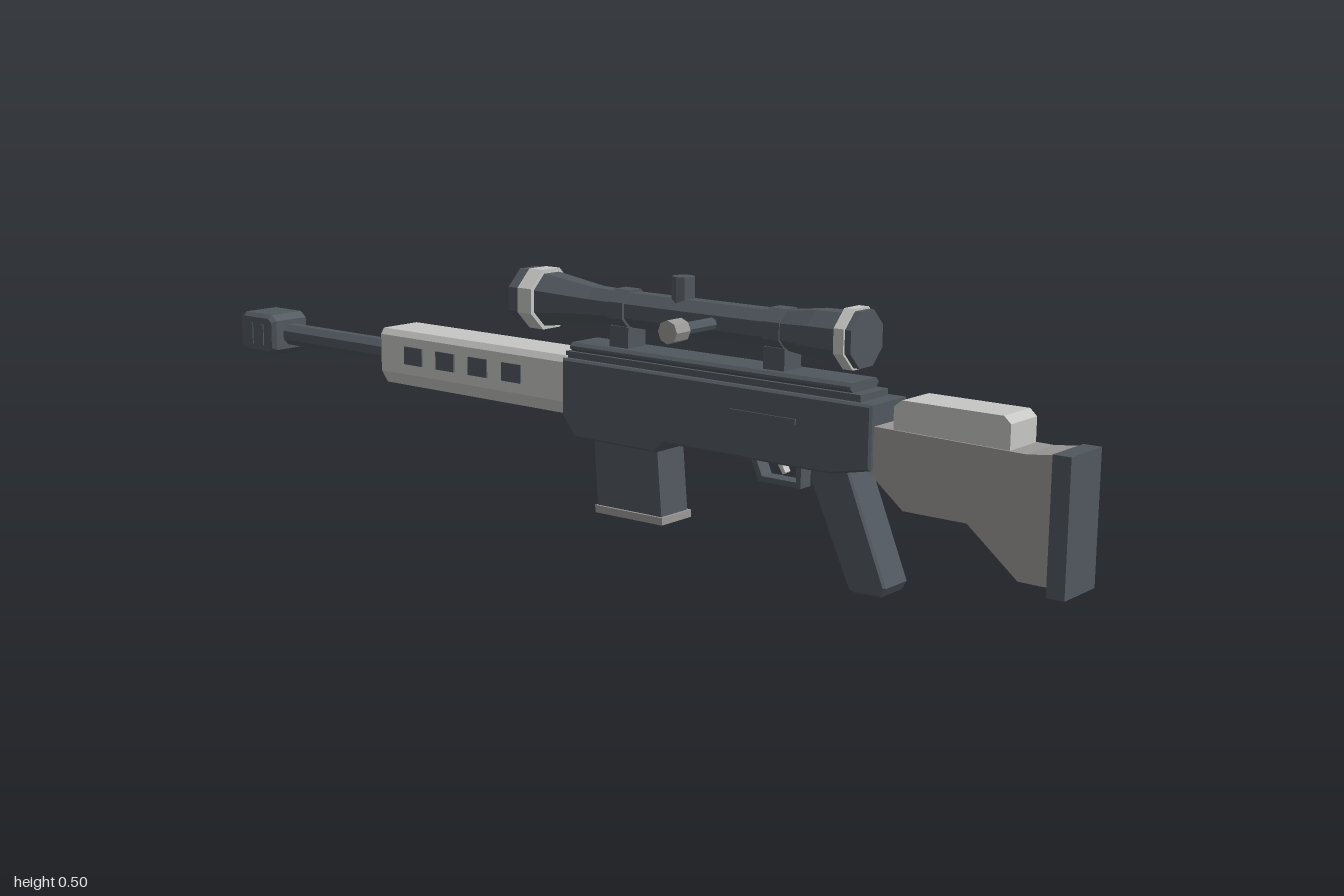
import * as THREE from 'three';

const dark = new THREE.MeshStandardMaterial({ color: 0x50575e });
dark.name = 'gunmetal';
const light = new THREE.MeshStandardMaterial({ color: 0xc6c6c4 });
light.name = 'light grey';
const mid = new THREE.MeshStandardMaterial({ color: 0x9a9896 });
mid.name = 'mid grey';
const gold = new THREE.MeshStandardMaterial({ color: 0xb8894a });
gold.name = 'amber lens';

const OCT = Math.cos(Math.PI / 8);

export function createModel() {
  const model = new THREE.Group();
  model.name = 'rifle';
  const body = new THREE.Group();
  body.name = 'rifleBody';
  body.position.x = 0.041;
  model.add(body);

  function add(name, geo, mat, x = 0, y = 0, z = 0) {
    const mesh = new THREE.Mesh(geo, mat);
    mesh.name = name;
    mesh.position.set(x, y, z);
    body.add(mesh);
    return mesh;
  }
  function flat(geo) {
    const g = geo.toNonIndexed();
    g.computeVertexNormals();
    return g;
  }
  const box = (name, mat, w, h, d, x, y, z) => add(name, new THREE.BoxGeometry(w, h, d), mat, x, y, z);
  const shapeOf = (pts) => new THREE.Shape(pts.map(([a, b]) => new THREE.Vector2(a, b)));

  // Side outline given as [z, y], extruded across x with a small bevel
  function sideSlab(name, mat, width, pts, bevel = 0) {
    const geo = new THREE.ExtrudeGeometry(shapeOf(pts), {
      depth: width - 2 * bevel, bevelEnabled: bevel > 0, bevelSize: bevel,
      bevelThickness: bevel, bevelOffset: -bevel, bevelSegments: 1,
    });
    geo.translate(0, 0, -(width / 2 - bevel));
    geo.rotateY(-Math.PI / 2);
    return add(name, geo, mat);
  }
  // Cross-section given as [x, y], extruded from z0 to z1
  function lengthwise(name, mat, pts, z0, z1) {
    const geo = new THREE.ExtrudeGeometry(shapeOf(pts), { depth: z1 - z0, bevelEnabled: false });
    return add(name, geo, mat, 0, 0, z0);
  }
  // Eight-sided turned part along z; profile is [half width, z] with z rising
  function turned(name, mat, y, profile) {
    const z0 = profile[0][1], z1 = profile[profile.length - 1][1];
    const pts = [[0, z0], ...profile, [0, z1]].map(([r, z]) => new THREE.Vector2(r / OCT, z));
    const geo = new THREE.LatheGeometry(pts, 8, Math.PI / 8);
    geo.rotateX(Math.PI / 2);
    return add(name, flat(geo), mat, 0, y, 0);
  }

  // Stock, cheek rest and butt plate
  sideSlab('stock', mid, 0.09, [[0.97, 0.085], [0.97, 0.298], [0.92, 0.292], [0.63, 0.297],
    [0.63, 0.22], [0.70, 0.163], [0.82, 0.163], [0.915, 0.085]]);
  sideSlab('cheekRest', light, 0.083, [[0.89, 0.285], [0.89, 0.335], [0.877, 0.347],
    [0.69, 0.347], [0.675, 0.335], [0.675, 0.285]]);
  box('buttPlate', dark, 0.1, 0.23, 0.032, 0, 0.185, 0.984);

  // Receiver and magazine well
  sideSlab('receiver', dark, 0.11, [[0.64, 0.222], [0.64, 0.333], [-0.045, 0.333], [-0.045, 0.225],
    [-0.015, 0.185], [0.18, 0.185], [0.2, 0.205], [0.56, 0.205]], 0.004);
  for (const s of [-1, 1]) {
    box('receiverGroove', dark, 0.006, 0.01, 0.14, s * 0.055, 0.285, 0.42);
  }

  // Stepped top rail
  lengthwise('railBase', dark, [[-0.042, 0.33], [0.042, 0.33], [0.042, 0.345], [-0.042, 0.345]], -0.045, 0.61);
  lengthwise('rail', dark, [[-0.03, 0.342], [0.03, 0.342], [0.042, 0.351], [0.042, 0.356],
    [0.036, 0.362], [-0.036, 0.362], [-0.042, 0.356], [-0.042, 0.351]], -0.035, 0.59);

  // Handguard with dark vents
  lengthwise('handguard', light, [[-0.038, 0.224], [0.038, 0.224], [0.054, 0.25], [0.054, 0.325],
    [0.046, 0.337], [-0.046, 0.337], [-0.054, 0.325], [-0.054, 0.25]], -0.54, -0.04);
  for (const s of [-1, 1]) {
    for (let i = 0; i < 4; i++) {
      box('vent', dark, 0.006, 0.036, 0.05, s * 0.0545, 0.289, -0.175 - i * 0.09);
    }
  }

  // Barrel and muzzle brake
  turned('barrel', dark, 0.281, [[0.022, -0.9], [0.022, -0.53]]);
  sideSlab('muzzleBrake', dark, 0.098, [[-0.885, 0.25], [-0.9, 0.238], [-0.985, 0.238], [-1, 0.25],
    [-1, 0.313], [-0.985, 0.325], [-0.9, 0.325], [-0.885, 0.313]].reverse(), 0.008);
  for (const s of [-1, 1]) {
    for (const z of [-0.925, -0.96]) box('brakeSlot', dark, 0.005, 0.045, 0.012, s * 0.049, 0.281, z);
  }

  // Magazine
  sideSlab('magazine', dark, 0.076, [[0.185, 0.055], [0.172, 0.2], [0.02, 0.2], [0.032, 0.055]]);
  sideSlab('magazineFloor', mid, 0.086, [[0.19, 0.048], [0.19, 0.062], [0.028, 0.06], [0.03, 0.046]]);

  // Grip, trigger and guard
  sideSlab('grip', dark, 0.072, [[0.585, 0.215], [0.505, 0.215], [0.51, 0.18], [0.592, 0.004],
    [0.605, 0], [0.655, 0.003], [0.665, 0.02]], 0.004);
  sideSlab('triggerGuard', dark, 0.03, [[0.475, 0.21], [0.475, 0.158], [0.385, 0.158], [0.362, 0.21],
    [0.373, 0.21], [0.392, 0.168], [0.465, 0.168], [0.465, 0.21]]);
  sideSlab('trigger', light, 0.016, [[0.435, 0.21], [0.42, 0.21], [0.422, 0.19], [0.432, 0.176],
    [0.437, 0.18], [0.431, 0.192]]);

  // Scope tube with flared ends
  const sy = 0.432;
  turned('scopeTube', dark, sy, [[0.05, -0.125], [0.048, -0.105], [0.034, 0.0], [0.032, 0.06],
    [0.032, 0.42], [0.042, 0.5], [0.043, 0.56]]);
  turned('frontRing', light, sy, [[0.057, -0.155], [0.057, -0.12]]);
  turned('frontBell', dark, sy, [[0.055, -0.18], [0.055, -0.154]]);
  turned('rearRing', light, sy, [[0.045, 0.555], [0.052, 0.56], [0.052, 0.58]]);
  turned('rearEyepiece', dark, sy, [[0.048, 0.579], [0.048, 0.592]]);
  turned('frontLens', gold, sy, [[0.047, -0.183], [0.047, -0.179]]);

  // Scope mounts
  for (const z of [0.07, 0.42]) {
    turned('mountRing', dark, sy, [[0.037, z - 0.018], [0.037, z + 0.018]]);
    box('mountFoot', dark, 0.05, 0.045, 0.045, 0, 0.379, z);
  }

  // Scope adjustment turrets
  const turret = (r, h) => flat(new THREE.CylinderGeometry(r, r, h, 8));
  add('topTurret', turret(0.021, 0.055), dark, 0, 0.476, 0.2);
  add('sideTurret', turret(0.021, 0.055), dark, 0.0465, 0.43, 0.2).rotation.z = Math.PI / 2;

  // Bolt handle
  add('boltRod', turret(0.0115, 0.12), dark, -0.066, 0.43, 0.29).rotation.z = Math.PI / 2;
  add('boltKnob', turret(0.021, 0.038), mid, -0.137, 0.43, 0.29).rotation.z = Math.PI / 2;

  return model;
}
